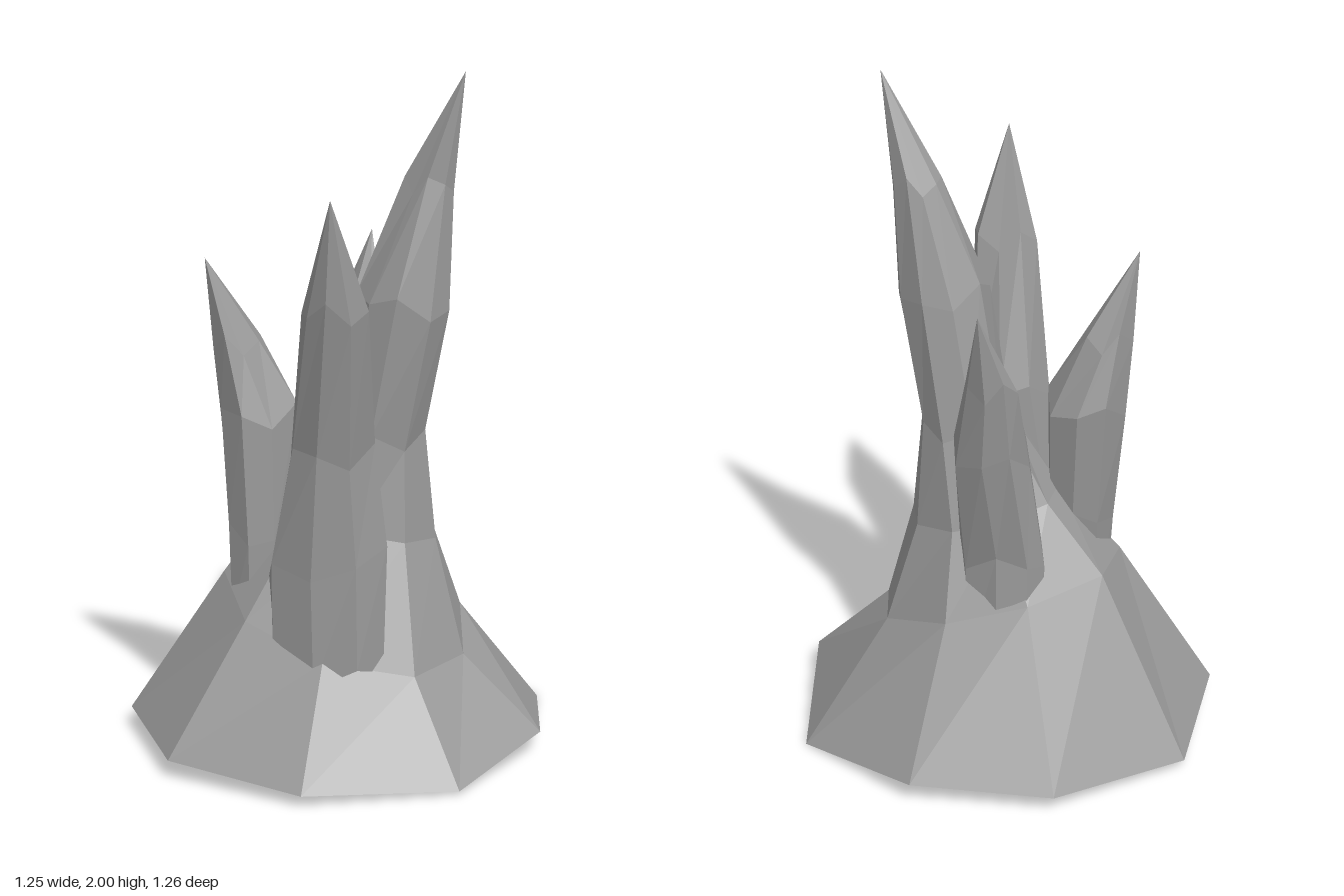
import * as THREE from 'three';

const material = new THREE.MeshStandardMaterial({ color: 0x999999, flatShading: true, side: THREE.DoubleSide });

// Ring of points filling the box x0..x1, z0..z1 at height y, tilted along x and z;
// rough varies the radius and jag the height of each corner
function ring(angles, [y, x0, x1, z0, z1, tiltX = 0, tiltZ = 0], rough, jag, level) {
  const cx = (x0 + x1) / 2, cz = (z0 + z1) / 2;
  return angles.map((a, i) => {
    const r = 1.03 + rough * Math.sin(i * 2.7 + level * 0.9);
    const x = cx + Math.cos(a) * r * (x1 - x0) / 2;
    const z = cz + Math.sin(a) * r * (z1 - z0) / 2;
    return [x, y + tiltX * x + tiltZ * z + jag * Math.sin(i * 2.3 + level), z];
  });
}

// Skin over a stack of rings, closed by a pointed tip
function spire(name, rings, tip) {
  const n = rings[0].length, index = [];
  const points = [...rings.flat(), tip];
  const last = (rings.length - 1) * n;
  for (let i = 0; i < n; i++) {
    const j = (i + 1) % n;
    for (let k = 0; k < last; k += n) {
      index.push(k + i, k + n + i, k + j, k + j, k + n + i, k + n + j);
    }
    index.push(last + i, points.length - 1, last + j);
  }
  const geometry = new THREE.BufferGeometry();
  geometry.setAttribute('position', new THREE.Float32BufferAttribute(points.flat(), 3));
  geometry.setIndex(index);
  geometry.computeVertexNormals();
  const mesh = new THREE.Mesh(geometry, material);
  mesh.name = name;
  return mesh;
}

export function createModel() {
  const group = new THREE.Group();
  group.name = 'rockSpires';

  // Tall leaning spire, flaring into an open nine-sided skirt
  const foot = [
    [0.625, 0.07, 0.02], [0.49, 0.01, 0.39], [0.10, 0.035, 0.63],
    [-0.335, 0.055, 0.56], [-0.605, 0.06, 0.215], [-0.63, 0.025, -0.22],
    [-0.325, 0.05, -0.56], [0.09, 0.06, -0.635], [0.49, 0, -0.44],
  ];
  const footAngles = foot.map(([x, , z]) => Math.atan2(z, x));
  const mainRings = [
    [0.42, -0.34, 0.38, -0.34, 0.39, -0.32, -0.13],
    [0.70, -0.16, 0.28, -0.21, 0.20, -0.25],
    [0.98, -0.01, 0.25, -0.15, 0.15, -0.2],
    [1.38, 0.06, 0.325, -0.11, 0.14, -0.2],
    [1.68, 0.19, 0.33, -0.065, 0.045],
  ].map((r, k) => ring(footAngles, r, 0.02, k > 1 ? 0.03 : 0, k));
  group.add(spire('mainSpire', [foot, ...mainRings], [0.365, 2, 0]));

  // Smaller spikes: rings are [y, x0, x1, z0, z1, tiltX], rooted inside the skirt
  const spikes = {
    frontSpike: {
      tip: [0.14, 1.70, 0.495],
      rings: [
        [0.30, -0.12, 0.22, 0.17, 0.40],
        [0.60, -0.13, 0.22, 0.15, 0.40, 0.2],
        [0.95, -0.05, 0.19, 0.17, 0.41],
        [1.38, 0.03, 0.215, 0.33, 0.48],
      ],
    },
    leftSpike: {
      tip: [-0.35, 1.46, 0.20],
      rings: [
        [0.38, -0.29, -0.12, 0.04, 0.24],
        [0.64, -0.305, -0.11, 0.01, 0.24],
        [1.00, -0.335, -0.11, -0.01, 0.24],
        [1.21, -0.345, -0.21, 0.06, 0.23],
      ],
    },
    backSpike: {
      tip: [-0.05, 1.46, -0.405],
      rings: [
        [0.34, -0.19, 0.05, -0.32, -0.13],
        [0.63, -0.19, 0.06, -0.30, -0.125],
        [0.98, -0.15, 0.065, -0.36, -0.14],
        [1.22, -0.135, 0.01, -0.385, -0.25],
      ],
    },
  };
  const spikeAngles = Array.from({ length: 8 }, (_, i) => i * Math.PI / 4 + 0.12 * Math.sin(i * 3.1));
  for (const [name, { tip, rings }] of Object.entries(spikes)) {
    group.add(spire(name, rings.map((r, k) => ring(spikeAngles, r, 0.05, 0.035, k)), tip));
  }
  return group;
}
